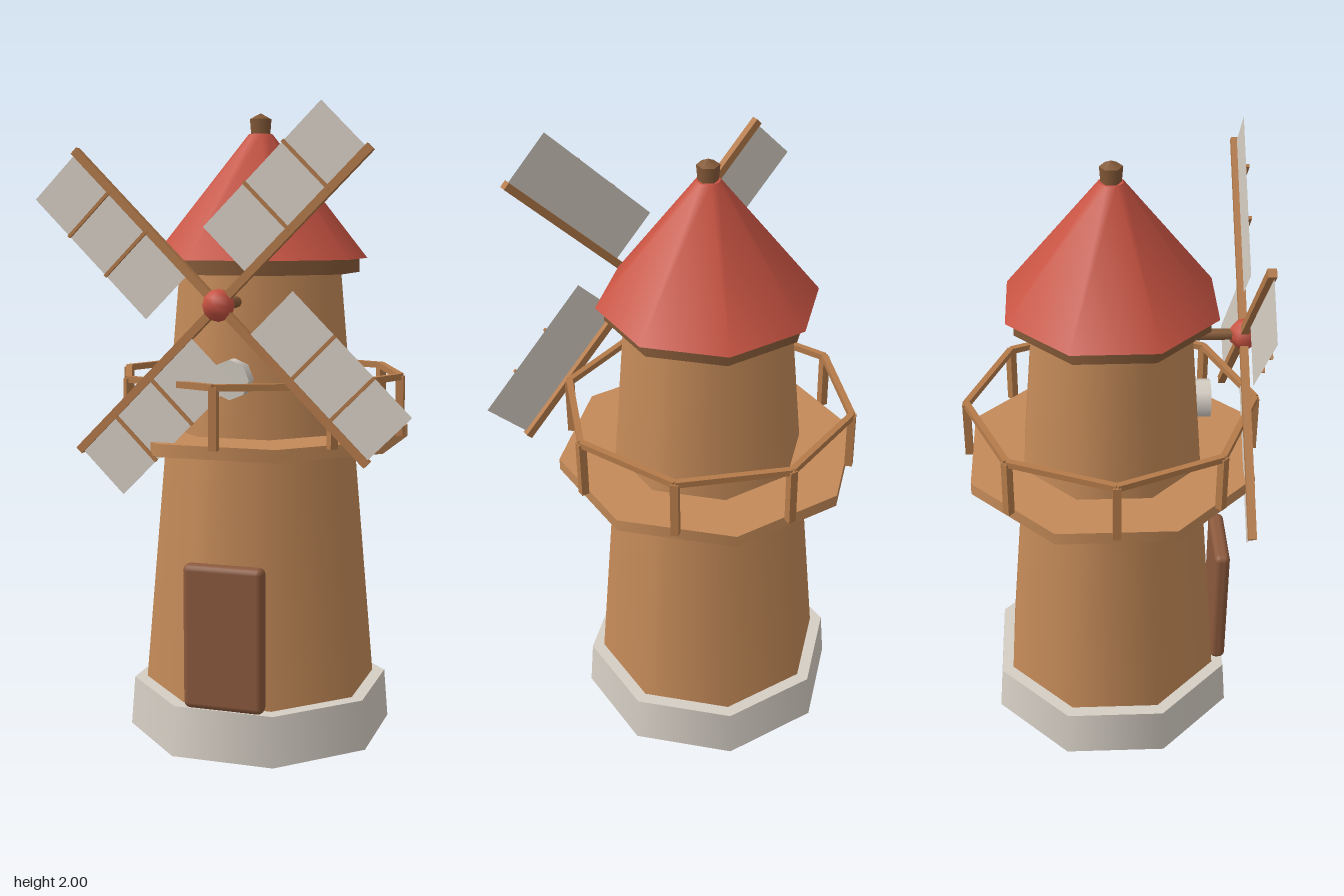
import * as THREE from 'three';
import { RoundedBoxGeometry } from 'three/addons/geometries/RoundedBoxGeometry.js';

const mat = (name, color, side = THREE.FrontSide) => {
  const m = new THREE.MeshStandardMaterial({ color, side });
  m.name = name;
  return m;
};

export function createModel() {
  const stone = mat('stone', 0xd5cec4, THREE.DoubleSide);
  const sailCloth = mat('sail cloth', 0xd8d0c6, THREE.DoubleSide);
  const wood = mat('wood', 0xc48a58);
  const timber = mat('timber', 0xb57b4a);
  const darkWood = mat('dark wood', 0x855a38);
  const doorWood = mat('door wood', 0x8b593d);
  const red = mat('red', 0xc85342);

  const model = new THREE.Group();
  model.name = 'windmill';

  const add = (parent, name, geometry, material, x = 0, y = 0, z = 0) => {
    const mesh = new THREE.Mesh(geometry, material);
    mesh.name = name;
    mesh.position.set(x, y, z);
    parent.add(mesh);
    return mesh;
  };

  // Octagonal tiers, sized by the distance from the axis to the flat sides
  const toCorner = 1 / Math.cos(Math.PI / 8);
  const tier = (name, bottom, top, y0, y1, material, open = false) => add(model, name,
    new THREE.CylinderGeometry(top * toCorner, bottom * toCorner, y1 - y0, 8, 1, open, Math.PI / 8),
    material, 0, (y0 + y1) / 2, 0);
  tier('foundationWall', 0.4, 0.388, 0, 0.16, stone, true);
  tier('tower', 0.35, 0.24, 0.162, 1.52, wood);
  tier('balconyDeck', 0.45, 0.45, 0.96, 1.0, wood);
  tier('cornice', 0.296, 0.296, 1.5, 1.547, darkWood);
  tier('roof', 0.32, 0.035, 1.545, 1.935, red);

  // The foundation is hollow below, closed by a slab at its top
  const slab = add(model, 'foundationSlab',
    new THREE.CircleGeometry(0.388 * toCorner, 8, Math.PI / 8), stone, 0, 0.16, 0);
  slab.rotation.x = -Math.PI / 2;

  // Finial
  add(model, 'finial', new THREE.CylinderGeometry(0.035, 0.031, 0.05, 6), darkWood, 0, 1.957, 0);
  add(model, 'finialTip', new THREE.ConeGeometry(0.035, 0.018, 6), darkWood, 0, 1.991, 0);

  // Door and round window
  add(model, 'door', new RoundedBoxGeometry(0.26, 0.46, 0.052, 2, 0.02), doorWood, 0, 0.39, 0.372);
  const window = add(model, 'window', new THREE.CylinderGeometry(0.062, 0.062, 0.05, 8), stone, 0, 1.185, 0.291);
  window.rotation.x = Math.PI / 2;

  // Balcony railing: a post at each eighth turn, joined by rails
  const railing = new THREE.Group();
  railing.name = 'railing';
  model.add(railing);
  const railRadius = 0.462;
  const railLength = 2 * railRadius * Math.sin(Math.PI / 8);
  for (let i = 0; i < 8; i++) {
    const side = new THREE.Group();
    side.name = 'railingSection';
    side.rotation.y = i * Math.PI / 4;
    railing.add(side);
    add(side, 'post', new THREE.BoxGeometry(0.025, 0.19, 0.025), timber, 0, 1.085, railRadius);
    const pivot = new THREE.Group();
    pivot.name = 'railPivot';
    pivot.rotation.y = Math.PI / 8;
    side.add(pivot);
    add(pivot, 'rail', new THREE.BoxGeometry(railLength, 0.02, 0.02), timber,
      0, 1.178, railRadius * Math.cos(Math.PI / 8));
  }

  // Axle and hub
  const axle = add(model, 'axle', new THREE.CylinderGeometry(0.018, 0.018, 0.22, 8), darkWood, 0, 1.418, 0.31);
  axle.rotation.x = Math.PI / 2;
  const hub = add(model, 'hub', new THREE.SphereGeometry(0.049, 6, 6), red, 0, 1.417, 0.413);
  hub.rotation.y = Math.PI / 6;

  // Four sails: spar along +x, cloth on its +y side, battens on the front
  const sails = new THREE.Group();
  sails.name = 'sails';
  sails.position.set(0, 1.417, 0.411);
  model.add(sails);
  for (let i = 0; i < 4; i++) {
    const sail = new THREE.Group();
    sail.name = 'sail';
    sail.rotation.z = Math.PI / 4 + i * Math.PI / 2;
    sails.add(sail);
    add(sail, 'spar', new THREE.BoxGeometry(0.642, 0.025, 0.025), timber, 0.321, 0, 0);
    add(sail, 'cloth', new THREE.PlaneGeometry(0.503, 0.193), sailCloth, 0.381, 0.0975, 0.006);
    for (const u of [0.31, 0.475]) {
      add(sail, 'batten', new THREE.BoxGeometry(0.01, 0.194, 0.009), timber, u, 0.098, 0.0115);
    }
  }
  return model;
}
